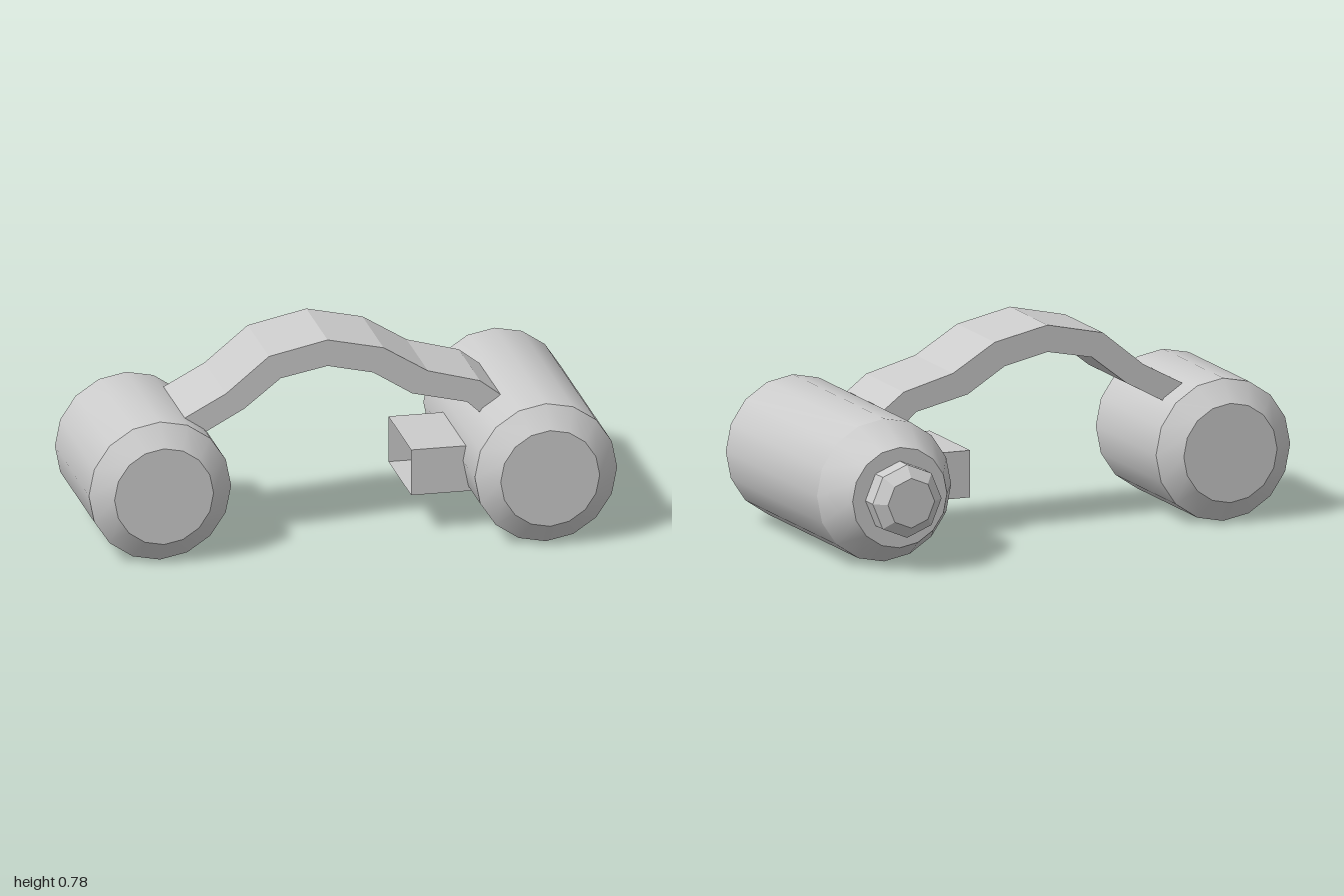
import * as THREE from 'three';
import { toCreasedNormals } from 'three/addons/utils/BufferGeometryUtils.js';

const AXIS_X = 0.727, AXIS_Y = 0.273;

export function createModel() {
  const group = new THREE.Group();
  const material = new THREE.MeshStandardMaterial({ color: 0xcccccc });
  const openMaterial = new THREE.MeshStandardMaterial({ color: 0xcccccc, side: THREE.DoubleSide });

  const add = (name, geometry, mat = material) => {
    const mesh = new THREE.Mesh(geometry, mat);
    mesh.name = name;
    group.add(mesh);
    return mesh;
  };

  // Turned part lying along z; profile is [radius, z] from back to front
  const turned = (name, x, sides, profile) => {
    const lathe = new THREE.LatheGeometry(profile.map(([r, z]) => new THREE.Vector2(r, z)), sides);
    lathe.rotateX(Math.PI / 2);
    add(name, toCreasedNormals(lathe, 0.42)).position.set(x, AXIS_Y, 0);
  };

  // Long barrel with a tapered back, and its end knob
  turned('longBarrel', AXIS_X, 16,
    [[0, -0.49], [0.192, -0.49], [0.273, -0.34], [0.273, 0.53], [0.19, 0.6], [0, 0.6]]);
  turned('endKnob', AXIS_X, 8,
    [[0, -0.6], [0.095, -0.6], [0.14, -0.56], [0.14, -0.48], [0, -0.48]]);

  // Short barrel with both ends chamfered
  turned('shortBarrel', -AXIS_X, 16,
    [[0, -0.235], [0.19, -0.235], [0.273, -0.165], [0.273, 0.41], [0.19, 0.478], [0, 0.478]]);

  // Arched band joining the barrels
  const top = [[-0.61, 0.515], [-0.45, 0.6], [-0.285, 0.735], [-0.06, 0.783],
    [0.155, 0.735], [0.325, 0.63], [0.525, 0.575], [0.603, 0.515]];
  const underside = [[0.535, 0.44], [0.475, 0.495], [0.265, 0.545], [0.115, 0.64],
    [-0.06, 0.68], [-0.24, 0.645], [-0.38, 0.535], [-0.555, 0.44]];
  const outline = new THREE.Shape([...top, ...underside].map(([x, y]) => new THREE.Vector2(x, y)));
  const band = new THREE.ExtrudeGeometry(outline, { depth: 0.36, bevelEnabled: false });
  add('bridgeBand', band).position.z = -0.055;

  // Thin rectangular sleeve on the long barrel, open towards the middle
  const sleeveOutline = [[0.15, -0.055], [0.15, 0.33], [0.33, 0.33], [0.33, -0.055], [0.15, -0.055]];
  const positions = [];
  for (let i = 0; i < 4; i++) {
    const [y0, z0] = sleeveOutline[i], [y1, z1] = sleeveOutline[i + 1];
    const a = [0.255, y0, z0], b = [0.55, y0, z0], c = [0.55, y1, z1], d = [0.255, y1, z1];
    positions.push(...a, ...b, ...c, ...a, ...c, ...d);
  }
  const sleeve = new THREE.BufferGeometry();
  sleeve.setAttribute('position', new THREE.Float32BufferAttribute(positions, 3));
  sleeve.computeVertexNormals();
  add('sideSleeve', sleeve, openMaterial);

  return group;
}
